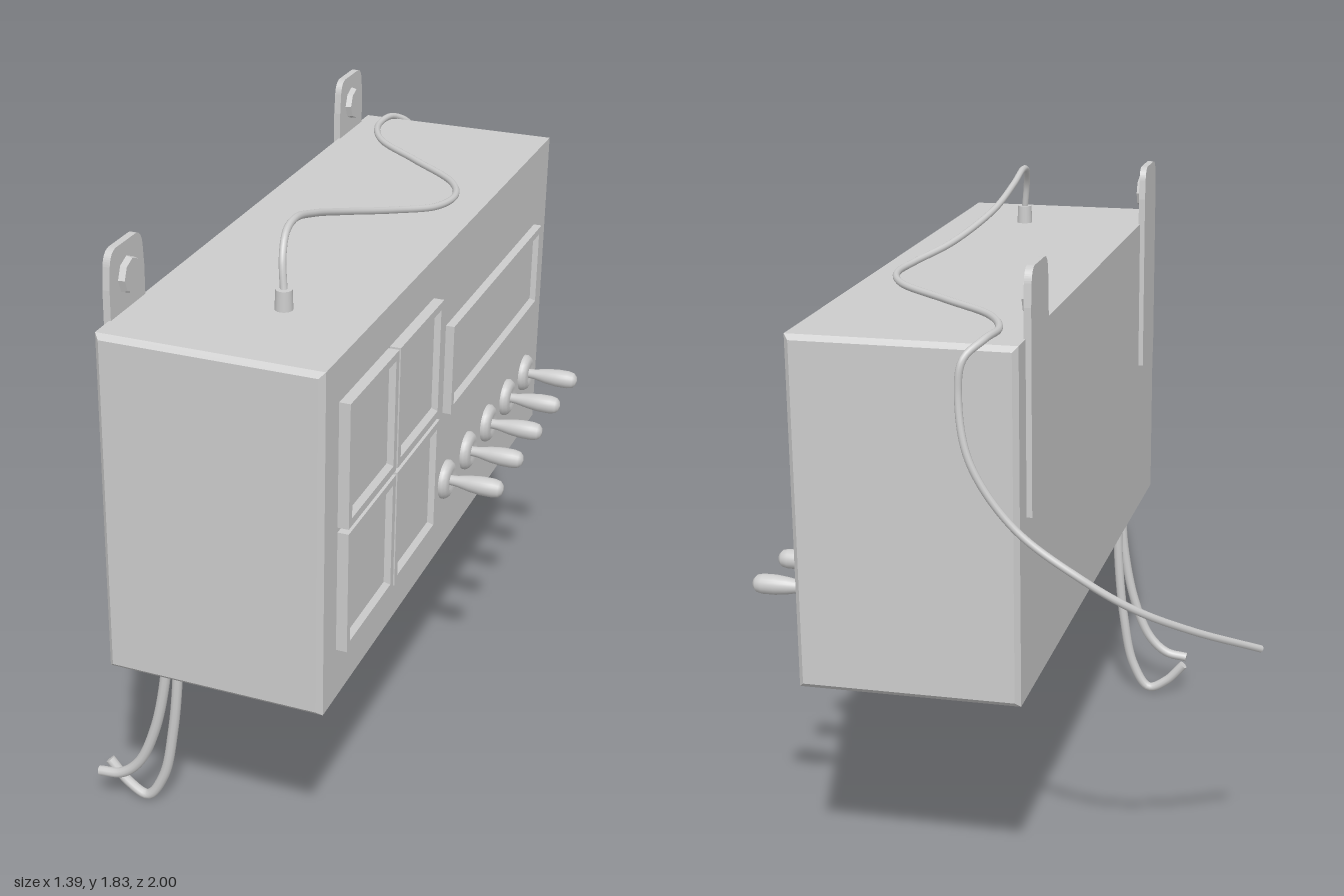
import * as THREE from 'three';

const material = new THREE.MeshStandardMaterial({ color: 0xcccccc, side: THREE.DoubleSide });
const flat = new THREE.MeshStandardMaterial({ color: 0xcccccc, flatShading: true, side: THREE.DoubleSide });

function add(parent, name, geometry, mat = material) {
  const mesh = new THREE.Mesh(geometry, mat);
  mesh.name = name;
  parent.add(mesh);
  return mesh;
}

// Stack of rectangles in the y-z plane, each ring [halfDepth, halfHeight, x], closed by a cap
function rectLoft(rings) {
  const pos = [], index = [];
  for (const [w, h, x] of rings) pos.push(x, -h, w, x, -h, -w, x, h, -w, x, h, w);
  for (let r = 0; r < rings.length - 1; r++) {
    for (let i = 0; i < 4; i++) {
      const a = r * 4 + i, b = r * 4 + (i + 1) % 4;
      index.push(a, b, b + 4, a, b + 4, a + 4);
    }
  }
  const n = (rings.length - 1) * 4;
  index.push(n, n + 1, n + 2, n, n + 2, n + 3);
  const g = new THREE.BufferGeometry();
  g.setAttribute('position', new THREE.Float32BufferAttribute(pos, 3));
  g.setIndex(index);
  const out = g.toNonIndexed();
  out.computeVertexNormals();
  return out;
}

// Raised frame with a sunken, bevelled centre
const framePanel = (w, h, t) => rectLoft([
  [w, h, 0], [w, h, t], [w - 0.022, h - 0.022, t],
  [w - 0.034, h - 0.034, t - 0.015],
]);

function cable(points, radius) {
  const curve = new THREE.CatmullRomCurve3(points.map(p => new THREE.Vector3(...p)));
  return new THREE.TubeGeometry(curve, points.length * 10, radius, 10);
}

// Flat disc closing a cable end
function cableCap(parent, points, radius) {
  const end = new THREE.Vector3(...points.at(-1));
  const dir = end.clone().sub(new THREE.Vector3(...points.at(-2)));
  const cap = add(parent, 'cableEnd', new THREE.CircleGeometry(radius, 10));
  cap.position.copy(end);
  cap.lookAt(end.clone().add(dir));
}

const lathe = (pts, sides = 24) =>
  new THREE.LatheGeometry(pts.map(p => new THREE.Vector2(...p)), sides);

export function createModel() {
  const model = new THREE.Group();
  model.name = 'controlBox';

  // Case with narrow chamfered edges
  const c = 0.014;
  const W = 0.61, H = 0.97, D = 1.93;
  const outline = new THREE.Shape();
  const hw = W / 2 - c, hh = H / 2 - c;
  outline.moveTo(-hw, -hh).lineTo(hw, -hh).lineTo(hw, hh).lineTo(-hw, hh).closePath();
  const caseGeo = new THREE.ExtrudeGeometry(outline, {
    depth: D - 2 * c, bevelThickness: c, bevelSize: c, bevelSegments: 1,
  });
  caseGeo.translate(0.205, 1.155, -0.93 + c);
  add(model, 'case', caseGeo, flat);

  // Four square panels
  for (const z of [0.725, 0.368]) {
    for (const y of [1.35, 0.99]) {
      add(model, 'squarePanel', framePanel(0.173, 0.173, 0.03), flat).position.set(0.51, y, z);
    }
  }

  // Display window
  add(model, 'display', framePanel(0.433, 0.135, 0.025), flat).position.set(0.51, 1.26, -0.355);

  // Row of toggle switches
  for (let i = 0; i < 5; i++) {
    const toggle = new THREE.Group();
    toggle.name = 'toggleSwitch';
    add(toggle, 'collar', lathe([
      [0.058, 0], [0.058, 0.01], [0.05, 0.02], [0.036, 0.027], [0.028, 0.02], [0, 0.018],
    ]));
    add(toggle, 'lever', lathe([
      [0.014, 0.01], [0.016, 0.04], [0.024, 0.08], [0.028, 0.115],
      [0.028, 0.15], [0.024, 0.168], [0.014, 0.177], [0, 0.18],
    ]));
    toggle.rotation.z = -Math.PI / 2;
    toggle.position.set(0.51, 0.893, 0.037 - i * 0.2);
    model.add(toggle);
  }

  // Hanging straps with bolts, at the back
  for (const z of [0.815, -0.748]) {
    const mount = new THREE.Group();
    mount.name = 'mountingStrap';
    const s = new THREE.Shape();
    s.moveTo(-0.096, 1.17).lineTo(0.096, 1.17).lineTo(0.096, 1.72);
    s.lineTo(0.09, 1.78).quadraticCurveTo(0.084, 1.82, 0.05, 1.82);
    s.lineTo(-0.05, 1.82).quadraticCurveTo(-0.084, 1.82, -0.09, 1.78);
    s.lineTo(-0.096, 1.72).closePath();
    const strap = new THREE.ExtrudeGeometry(s, { depth: 0.02, bevelEnabled: false });
    strap.rotateY(-Math.PI / 2);
    add(mount, 'strap', strap).position.x = -0.095;
    const bolt = add(mount, 'bolt', new THREE.CylinderGeometry(0.046, 0.05, 0.018, 8), flat);
    bolt.rotation.set(0, 0, -Math.PI / 2);
    bolt.position.set(-0.087, 1.73, 0);
    mount.position.z = z;
    model.add(mount);
  }

  // Aerial wire: up from its plug, over the top, down the far end and out behind
  add(model, 'aerialPlug', new THREE.CylinderGeometry(0.022, 0.024, 0.055, 16))
    .position.set(0.272, 1.667, 0.675);
  const aerial = [
    [0.272, 1.68, 0.675], [0.26, 1.77, 0.655], [0.25, 1.82, 0.61], [0.245, 1.832, 0.54],
    [0.245, 1.805, 0.42], [0.265, 1.755, 0.25], [0.335, 1.695, 0.03], [0.405, 1.665, -0.12],
    [0.42, 1.658, -0.24], [0.37, 1.655, -0.36], [0.2, 1.653, -0.515], [0.04, 1.652, -0.66],
    [-0.02, 1.652, -0.8], [-0.01, 1.65, -0.91], [0.03, 1.61, -0.965], [0.04, 1.52, -0.975],
    [0.01, 1.36, -0.993], [-0.1, 1.19, -0.985], [-0.28, 1.06, -0.978],
    [-0.4, 0.975, -0.93], [-0.53, 0.885, -0.82], [-0.69, 0.775, -0.64],
  ];
  add(model, 'aerialWire', cable(aerial, 0.01));
  cableCap(model, aerial, 0.01);

  // Two leads hanging from the underside
  const leads = [
    [0.698, [[-0.04, 0.66], [-0.045, 0.48], [-0.065, 0.28], [-0.1, 0.11], [-0.155, 0.027],
      [-0.215, 0.055], [-0.275, 0.12]]],
    [0.762, [[-0.04, 0.66], [-0.053, 0.5], [-0.09, 0.32], [-0.145, 0.19], [-0.205, 0.135],
      [-0.275, 0.122]]],
  ];
  for (const [z, path] of leads) {
    add(model, 'leadSocket', new THREE.CylinderGeometry(0.026, 0.026, 0.035, 16))
      .position.set(-0.04, 0.66, z);
    const pts = path.map(([x, y]) => [x, y, z]);
    add(model, 'lead', cable(pts, 0.015));
    cableCap(model, pts, 0.015);
  }

  return model;
}
